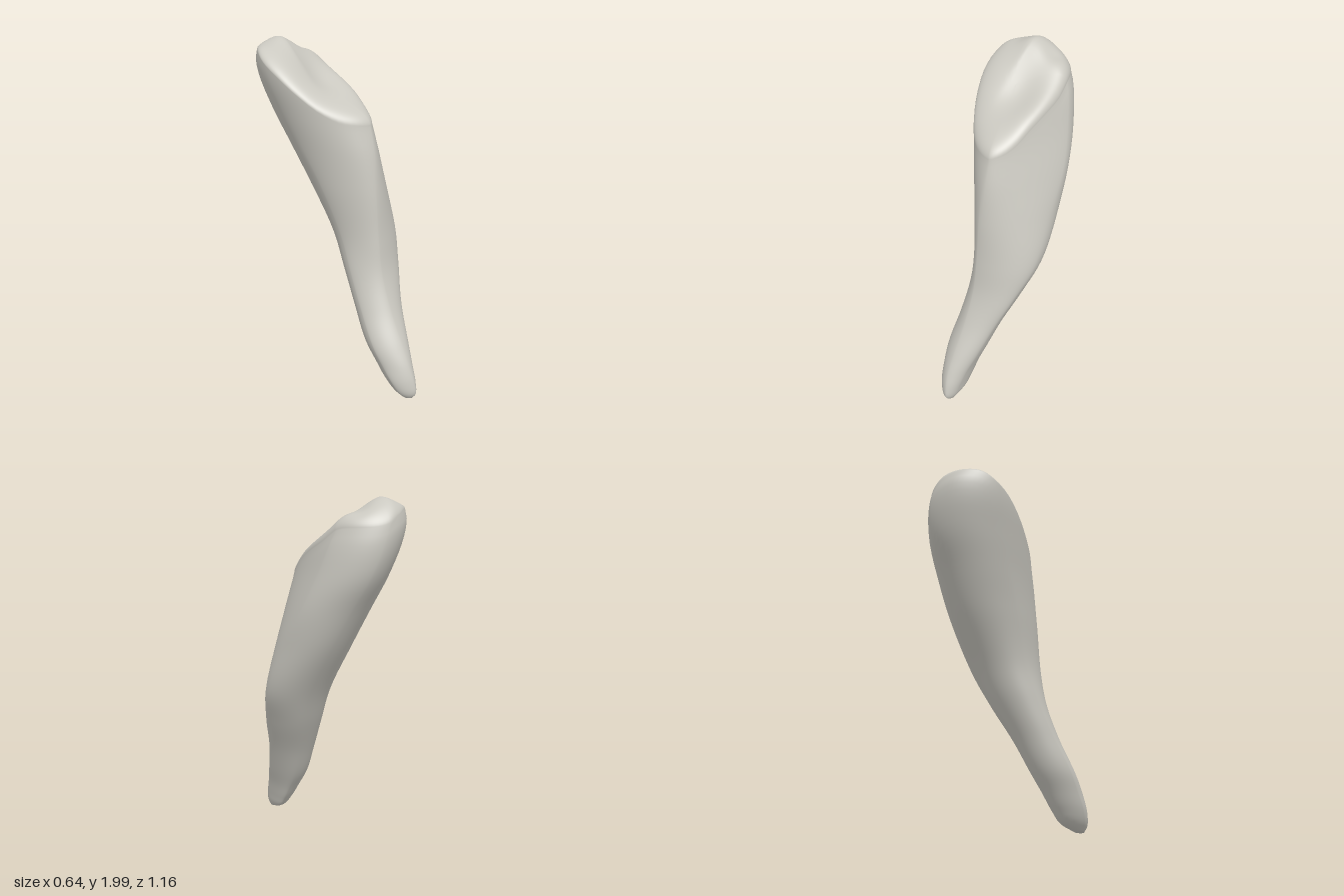
import * as THREE from 'three';

const { lerp, smoothstep } = THREE.MathUtils;

// Horizontal sections: height, then x,z of the left-side, front, right-side and back extremes
const SECTIONS = [
  [0.00, 0.03, 0.53, 0.06, 0.56, 0.08, 0.53, 0.06, 0.50],
  [0.03, 0.00, 0.52, 0.065, 0.58, 0.095, 0.52, 0.07, 0.42],
  [0.10, -0.035, 0.49, 0.06, 0.575, 0.108, 0.50, 0.07, 0.35],
  [0.20, -0.06, 0.43, 0.05, 0.54, 0.125, 0.45, 0.065, 0.28],
  [0.30, -0.08, 0.37, 0.05, 0.49, 0.15, 0.39, 0.06, 0.21],
  [0.50, -0.075, 0.25, 0.05, 0.38, 0.20, 0.28, 0.08, 0.10],
  [0.70, -0.07, 0.15, 0.05, 0.30, 0.265, 0.18, 0.12, -0.02],
  [0.90, -0.075, 0.07, 0.05, 0.265, 0.315, 0.06, 0.14, -0.13],
  [1.20, -0.14, -0.04, 0.05, 0.235, 0.29, -0.10, 0.10, -0.32],
  [1.40, -0.195, -0.13, 0.055, 0.205, 0.255, -0.23, 0.05, -0.43],
  [1.60, -0.255, -0.20, 0.055, 0.155, 0.20, -0.32, -0.01, -0.54],
  [1.80, -0.31, -0.26, 0.05, 0.12, 0.14, -0.38, -0.07, -0.58],
  [1.90, -0.32, -0.28, 0.04, 0.10, 0.09, -0.40, -0.10, -0.56],
  [2.00, -0.30, -0.30, 0.03, 0.10, 0.07, -0.40, -0.10, -0.48],
];

// Flatness of each quarter of the outline, near the root and near the top
const ROOT_FLATNESS = [1.12, 1.0, 0.97, 1.26];
const TOP_FLATNESS = [1.18, 1.2, 1.08, 1.04];

// Profile of the slanted top: z, y
const CROWN = [[-0.6, 1.93], [-0.5, 1.985], [-0.4, 2.0], [-0.3, 1.95], [-0.2, 1.88],
  [-0.1, 1.79], [0, 1.705], [0.08, 1.66], [0.16, 1.63], [0.3, 1.56]];

// Smooth interpolation of a table whose first column is the key
function sample(rows, key, col) {
  let i = 0;
  while (i < rows.length - 2 && key > rows[i + 1][0]) i++;
  const secant = (k) => {
    const j = Math.min(Math.max(k, 0), rows.length - 2);
    return (rows[j + 1][col] - rows[j][col]) / (rows[j + 1][0] - rows[j][0]);
  };
  const h = rows[i + 1][0] - rows[i][0];
  const t = Math.min(Math.max((key - rows[i][0]) / h, 0), 1);
  const m0 = (secant(i - 1) + secant(i)) / 2 * h;
  const m1 = (secant(i) + secant(i + 1)) / 2 * h;
  const a = rows[i][col], b = rows[i + 1][col];
  return a + t * m0 + t * t * (3 * (b - a) - 2 * m0 - m1) + t * t * t * (2 * (a - b) + m0 + m1);
}

// Point on the outline at height y; u runs 0..4 front, right side, back, left side
function outline(u, y) {
  const q = Math.floor(u) % 4;
  const a = (u - Math.floor(u)) * Math.PI / 2;
  const p = lerp(ROOT_FLATNESS[q], TOP_FLATNESS[q], smoothstep(y, 1.1, 1.7));
  const c = 1 - Math.pow(Math.cos(a), p);
  const s = Math.pow(Math.sin(a), p);
  const cols = [3, 5, 7, 1];
  const from = cols[q], to = cols[(q + 1) % 4];
  const x0 = sample(SECTIONS, y, from), z0 = sample(SECTIONS, y, from + 1);
  const x1 = sample(SECTIONS, y, to), z1 = sample(SECTIONS, y, to + 1);
  return q % 2 === 0
    ? [x0 + (x1 - x0) * s, z0 + (z1 - z0) * c]
    : [x0 + (x1 - x0) * c, z0 + (z1 - z0) * s];
}

// Height of the worn top surface; edge is 1 at the rim and 0 in the middle
function crownHeight(x, z, edge) {
  const dent = (px, pz, r) => Math.exp(-((x - px) ** 2 + (z - pz) ** 2) / (r * r));
  const back = smoothstep(-z, 0, 0.35);
  const slope = (0.4 * Math.max(0, x + 0.12) + 0.15 * Math.max(0, -0.14 - x)) * back;
  const dents = 0.06 * dent(-0.02, -0.18, 0.14) + 0.02 * dent(0, -0.42, 0.06)
    + 0.015 * dent(-0.22, -0.4, 0.06);
  const depth = lerp(0.075, 0.045, smoothstep(-x, 0.05, 0.25));
  const rounding = depth * (1 - Math.sqrt(Math.max(0, 1 - Math.pow(edge, 5))));
  return sample(CROWN, z, 1) - slope - dents - rounding;
}

function buildTooth() {
  const around = 64, up = 60, capRings = 24;
  const cx = -0.07, cz = -0.2;
  const positions = [], index = [];

  // Rim where the sides meet the slanted top
  const rim = [];
  for (let i = 0; i < around; i++) {
    const u = i / around * 4;
    let y = 1.75;
    for (let k = 0; k < 40; k++) {
      const [x, z] = outline(u, y);
      y += 0.5 * (crownHeight(x, z, 1) - y);
    }
    rim.push(y);
  }

  // Root end, sides, then rings closing over the top
  for (let i = 0; i < around; i++) positions.push(0.06, 0, 0.53);
  for (let j = 0; j <= up; j++) {
    for (let i = 0; i < around; i++) {
      const y = rim[i] * Math.pow(j / up, 1.4);
      const [x, z] = outline(i / around * 4, y);
      positions.push(x, y, z);
    }
  }
  for (let j = 1; j <= capRings; j++) {
    const edge = Math.cos(Math.PI / 2 * j / capRings);
    for (let i = 0; i < around; i++) {
      const [rx, rz] = outline(i / around * 4, rim[i]);
      const x = cx + (rx - cx) * edge, z = cz + (rz - cz) * edge;
      positions.push(x, crownHeight(x, z, edge), z);
    }
  }

  const rows = up + capRings + 2;
  for (let j = 0; j < rows - 1; j++) {
    for (let i = 0; i < around; i++) {
      const n = (i + 1) % around;
      const a = j * around + i, b = j * around + n;
      const c = a + around, d = b + around;
      if (j > 0) index.push(a, b, d);
      if (j < rows - 2) index.push(a, d, c);
    }
  }
  const geometry = new THREE.BufferGeometry();
  geometry.setAttribute('position', new THREE.Float32BufferAttribute(positions, 3));
  geometry.setIndex(index);
  geometry.computeVertexNormals();
  return geometry;
}

export function createModel() {
  const group = new THREE.Group();
  group.name = 'tooth';
  const ivory = new THREE.MeshStandardMaterial({ color: 0xcac8c0 });
  ivory.name = 'pale grey ivory';
  const body = new THREE.Mesh(buildTooth(), ivory);
  body.name = 'toothBody';
  group.add(body);
  return group;
}
